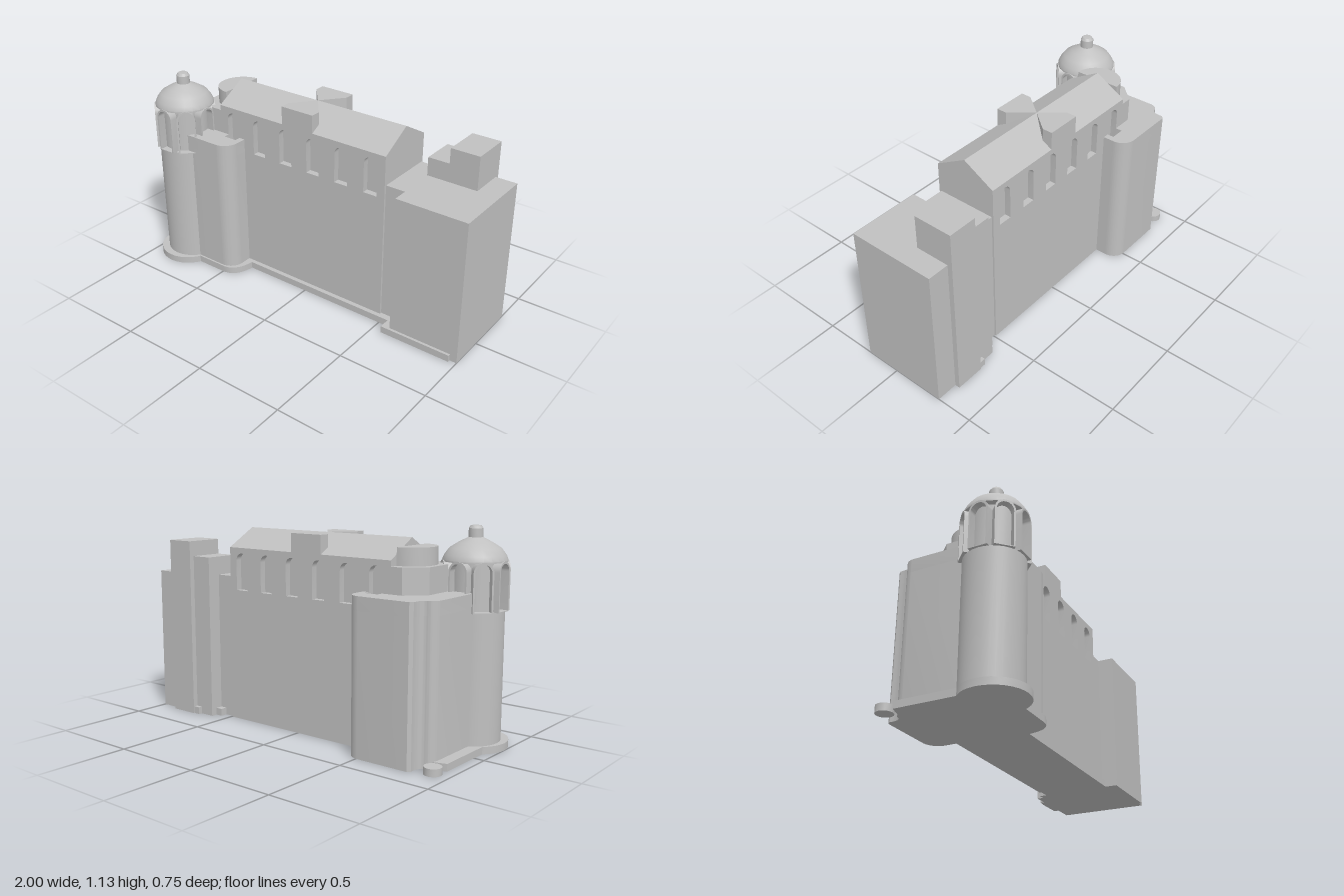
import * as THREE from 'three';
import { toCreasedNormals } from 'three/addons/utils/BufferGeometryUtils.js';

export function createModel() {
  const model = new THREE.Group();
  model.name = 'church';
  const stone = new THREE.MeshStandardMaterial({ color: 0xc0c0c0 });
  stone.name = 'stone grey';

  const add = (name, geometry, parent = model) => {
    const mesh = new THREE.Mesh(toCreasedNormals(geometry, 0.45), stone);
    mesh.name = name;
    parent.add(mesh);
    return mesh;
  };
  // Box given by its limits on each axis
  const box = (name, x0, x1, y0, y1, z0, z1) => add(name,
    new THREE.BoxGeometry(x1 - x0, y1 - y0, z1 - z0)
      .translate((x0 + x1) / 2, (y0 + y1) / 2, (z0 + z1) / 2));
  // Ground plans are drawn as (x, -z) and raised from y0 to y1
  const polygon = (points) => new THREE.Shape(points.map(([x, z]) => new THREE.Vector2(x, -z)));
  const raise = (name, shape, y0, y1) => add(name,
    new THREE.ExtrudeGeometry(shape, { depth: y1 - y0, bevelEnabled: false, curveSegments: 12 })
      .rotateX(-Math.PI / 2).translate(0, y0, 0));
  // Round-headed outline used for windows and lantern arches
  const arch = (path, x, w, y0, y1) => {
    const r = w / 2;
    path.moveTo(x - r, y0);
    path.lineTo(x + r, y0);
    path.lineTo(x + r, y1 - r);
    path.absarc(x, y1 - r, r, 0, Math.PI, false);
    path.lineTo(x - r, y0);
    return path;
  };

  // Nave: solid core, two walls pierced by blind windows, gabled roof
  const X0 = -0.595, X1 = 0.49, ZB = -0.232, ZF = 0.125, ridge = -0.055;
  box('naveCore', X0, X1, 0, 0.97, ZB + 0.035, ZF - 0.035);
  const windows = [0, 1, 2, 3, 4, 5].map((i) => -0.505 + i * 0.1815);
  for (const [name, z] of [['frontNaveWall', ZF - 0.035], ['backNaveWall', ZB]]) {
    const wall = new THREE.Shape([[X0, 0], [X1, 0], [X1, 0.97], [X0, 0.97]]
      .map(([x, y]) => new THREE.Vector2(x, y)));
    for (const x of windows) wall.holes.push(arch(new THREE.Path(), x, 0.08, 0.735, 0.94));
    add(name, new THREE.ExtrudeGeometry(wall, { depth: 0.035, bevelEnabled: false, curveSegments: 8 })
      .translate(0, 0, z));
  }
  const gable = new THREE.Shape([[-ZF, 0.97], [-ZB, 0.97], [-ridge, 1.07]]
    .map(([x, y]) => new THREE.Vector2(x, y)));
  add('naveRoof', new THREE.ExtrudeGeometry(gable, { depth: X1 - X0, bevelEnabled: false })
    .rotateY(Math.PI / 2).translate(X0, 0, 0));

  // Flat-topped dormers tapering to the ridge
  for (const [name, edge, shoulder] of [['frontDormer', ZF, 0.068], ['backDormer', ZB, -0.175]]) {
    raise(name, polygon([[-0.16, edge], [0.04, edge], [0.04, shoulder], [-0.06, ridge], [-0.16, shoulder]]), 0.95, 1.07);
  }

  // West transept with rounded corners and a scalloped back corner
  const transept = () => {
    const s = new THREE.Shape();
    s.moveTo(-0.885, -0.18);
    s.lineTo(-0.80, -0.18);
    s.lineTo(-0.72, -0.27);
    s.lineTo(-0.51, -0.27);
    s.absarc(-0.51, -0.19, 0.08, -Math.PI / 2, 0, false);
    s.lineTo(-0.43, 0.295);
    s.absarc(-0.51, 0.295, 0.08, 0, Math.PI / 2, false);
    s.lineTo(-0.80, 0.375);
    s.lineTo(-0.815, 0.36);
    s.quadraticCurveTo(-0.81, 0.29, -0.85, 0.29);
    s.quadraticCurveTo(-0.875, 0.285, -0.885, 0.245);
    return s;
  };
  raise('transeptBody', transept(), 0, 0.735);
  const upper = transept();
  // Light wells where the first windows drop below the transept roof
  for (const [z0, z1] of [[0.09, 0.16], [-0.27, -0.197]]) {
    upper.holes.push(polygon([[-0.545, z0], [-0.465, z0], [-0.465, z1], [-0.545, z1]]));
  }
  raise('transeptTop', upper, 0.735, 0.806);

  // Apse: faceted drum with a half-round turret above
  raise('apseDrum', polygon([[-0.59, ZB], [-0.66, ZB], [-0.752, -0.135], [-0.752, 0.03], [-0.66, ZF], [-0.59, ZF]]), 0.8, 0.94);
  const half = new THREE.Shape();
  half.absarc(-0.595, -ridge, 0.13, Math.PI / 2, Math.PI * 1.5, false);
  raise('apseTurret', half, 0.94, 1.03);

  // East block, link and stepped chimney tower
  box('eastLink', 0.48, 0.61, 0, 0.808, -0.222, 0.113);
  box('eastBlock', 0.6, 1.0, 0, 0.808, -0.297, 0.2);
  box('lowStairTower', 0.595, 0.72, 0, 0.91, -0.297, -0.105);
  box('highStairTower', 0.717, 0.88, 0, 0.995, -0.325, -0.105);
  box('footBlock', 0.555, 0.6, 0, 0.04, -0.262, -0.2);
  box('footBlock', 0.68, 0.72, 0, 0.04, -0.32, -0.28);

  // Plinths
  box('navePlinth', -0.42, 0.56, 0, 0.038, 0.1, 0.15);
  box('eastPlinth', 0.555, 0.96, 0, 0.038, 0.1, 0.215);
  const foot = polygon([[-0.945, -0.25], [-0.88, -0.27], [-0.5, -0.27], [-0.43, -0.2], [-0.43, 0.12], [-0.39, 0.15]]);
  foot.quadraticCurveTo(-0.405, -0.28, -0.5, -0.28);
  foot.lineTo(-0.7, -0.28);
  foot.lineTo(-0.945, -0.1);
  raise('transeptPlinth', foot, 0, 0.038);
  const disc = (name, x, z, r, y0, y1, sides = 32) => add(name,
    new THREE.CylinderGeometry(r, r, y1 - y0, sides).translate(x, (y0 + y1) / 2, z));
  disc('towerPlinth', -0.83, 0.203, 0.17, 0, 0.038);
  disc('cornerFoot', -0.91, -0.32, 0.045, 0, 0.038, 20);

  // Round tower with arched lantern and dome
  const TX = -0.815, TZ = 0.18;
  disc('towerShaft', TX, TZ, 0.155, 0, 0.71);
  disc('lanternCore', TX, TZ, 0.13, 0.71, 0.955);
  const lantern = new THREE.Group();
  lantern.name = 'lantern';
  lantern.position.set(TX, 0, TZ);
  model.add(lantern);
  for (let i = 0; i < 8; i++) {
    const frame = arch(new THREE.Shape(), 0, 0.102, 0.708, 0.957);
    frame.holes.push(arch(new THREE.Path(), 0, 0.084, 0.712, 0.946));
    const mesh = add('lanternArch', new THREE.ExtrudeGeometry(frame,
      { depth: 0.05, bevelEnabled: false, curveSegments: 8 }).translate(0, 0, 0.117), lantern);
    mesh.rotation.y = i * Math.PI / 4;
  }
  const profile = [[0, 0.95], [0.163, 0.95], [0.163, 0.958], [0.153, 0.982], [0.128, 1.016], [0.085, 1.043],
    [0.036, 1.068], [0.036, 1.112], [0.026, 1.126], [0, 1.128]].map(([r, y]) => new THREE.Vector2(r, y));
  add('dome', new THREE.LatheGeometry(profile, 24).translate(TX, 0, TZ));

  return model;
}
